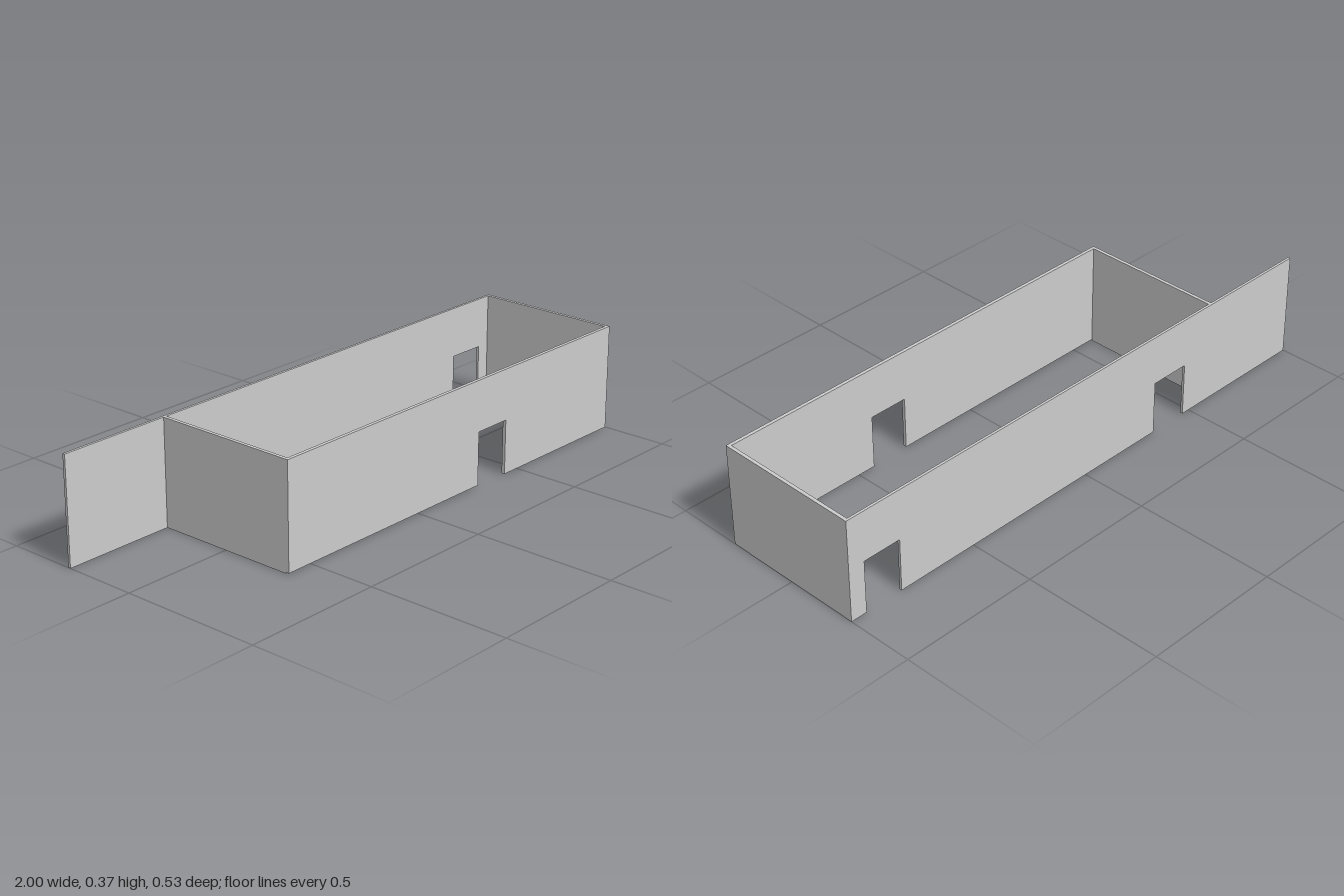
import * as THREE from 'three';

const HEIGHT = 0.368, DOOR_TOP = 0.19;
const X0 = -0.6, X1 = 1, Z = 0.263; // room extents
const THICK = 0.012, BACK_THICK = 0.009;

const material = new THREE.MeshStandardMaterial({ color: 0xcccccc, flatShading: true });

// Upright wall along x with doorways cut up from its lower edge.
// doors: [xStart, xEnd] from left to right; bases: lower edge of each stretch between doors
function doorWall(name, xa, xb, zBack, thick, doors, bases) {
  const s = new THREE.Shape();
  s.moveTo(xa, bases[0]);
  doors.forEach(([a, b], i) => {
    s.lineTo(a, bases[i]);
    s.lineTo(a, DOOR_TOP);
    s.lineTo(b, DOOR_TOP);
    s.lineTo(b, bases[i + 1]);
  });
  s.lineTo(xb, bases[bases.length - 1]);
  s.lineTo(xb, HEIGHT);
  s.lineTo(xa, HEIGHT);
  s.closePath();
  const geometry = new THREE.ExtrudeGeometry(s, { depth: thick, bevelEnabled: false });
  geometry.translate(0, 0, zBack);
  const mesh = new THREE.Mesh(geometry, material);
  mesh.name = name;
  return mesh;
}

// Plain end wall fitted between the front and back walls
function endWall(name, xMin) {
  const za = -Z + BACK_THICK, zb = Z - THICK;
  const mesh = new THREE.Mesh(new THREE.BoxGeometry(THICK, HEIGHT, zb - za), material);
  mesh.position.set(xMin + THICK / 2, HEIGHT / 2, (za + zb) / 2);
  mesh.name = name;
  return mesh;
}

export function createModel() {
  const group = new THREE.Group();
  group.name = 'roomWalls';
  group.add(
    // long back wall running on past the room, with two doorways
    doorWall('backWall', -1, 1, -Z, BACK_THICK, [[-0.47, -0.325], [0.8, 0.94]], [0, 0, 0]),
    // front wall, its stretch beside the doorway set a hair higher
    doorWall('frontWall', X0, X1, Z - THICK, THICK, [[0.295, 0.435]], [0.004, 0]),
    endWall('rightEndWall', X0),
    endWall('leftEndWall', X1 - THICK)
  );
  return group;
}
